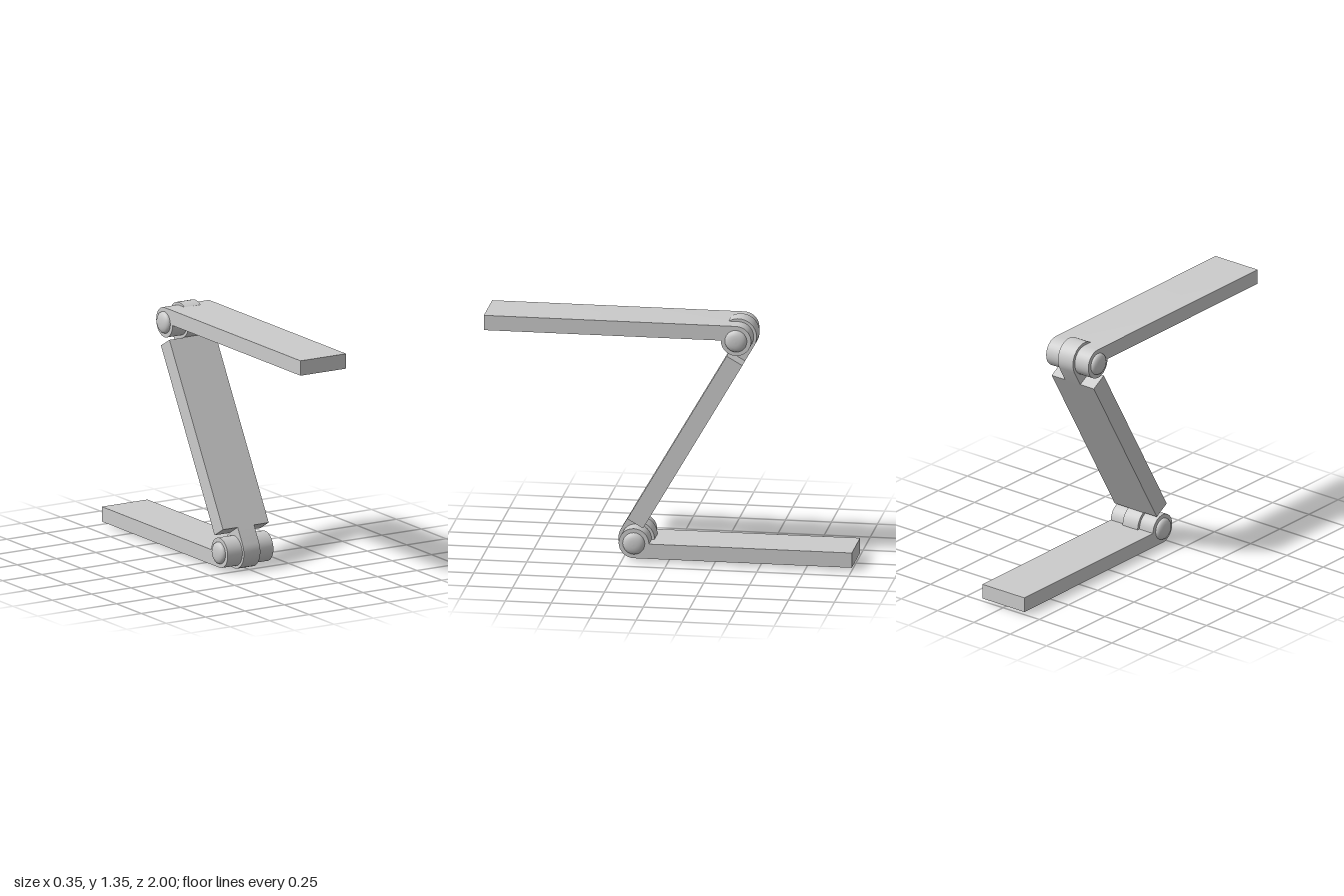
import * as THREE from 'three';
import { toCreasedNormals } from 'three/addons/utils/BufferGeometryUtils.js';

const material = new THREE.MeshStandardMaterial({ color: 0xcccccc });
const PLATE_W = 0.29, TONGUE_W = 0.104;
const PLATE_R = 0.0825, TONGUE_R = 0.0985;
const lower = new THREE.Vector3(0, 0.1, 0.185);
const upper = new THREE.Vector3(0, 1.2575, -0.37);

// Strip of thickness r that runs along u and curls into a round knuckle at the origin
function knuckleStrip(length, r, width) {
  const s = new THREE.Shape();
  s.moveTo(length, 0);
  s.lineTo(length, r);
  s.lineTo(0, r);
  s.absarc(0, 0, r, Math.PI / 2, Math.PI * 2, false);
  s.closePath();
  const g = new THREE.ExtrudeGeometry(s, { depth: width, bevelEnabled: false, curveSegments: 12 });
  g.translate(0, 0, -width / 2);
  return toCreasedNormals(g, 0.6);
}

function mesh(name, geometry) {
  const m = new THREE.Mesh(geometry, material);
  m.name = name;
  return m;
}

// Place a strip at a hinge: u runs along the strip, v points to its flat outer side
function place(m, hinge, u, v) {
  const w = new THREE.Vector3().crossVectors(u, v);
  m.quaternion.setFromRotationMatrix(new THREE.Matrix4().makeBasis(u, v, w));
  m.position.copy(hinge);
  return m;
}

export function createModel() {
  const model = new THREE.Group();
  model.name = 'foldingHinge';
  const along = new THREE.Vector3(0, Math.cos(Math.PI / 6), -Math.sin(Math.PI / 6));
  const normal = new THREE.Vector3(0, Math.sin(Math.PI / 6), Math.cos(Math.PI / 6));
  const span = upper.clone().sub(lower).dot(along);

  // Sloping middle plate, stopping short of both hinges
  const gap = 0.1;
  const bar = new THREE.BoxGeometry(span - 2 * gap, TONGUE_R, PLATE_W);
  bar.translate(span / 2, TONGUE_R / 2, 0);
  model.add(place(mesh('middlePlate', bar), lower, along, normal));

  // Each hinge is the other one turned half round about x
  for (const [label, hinge, sign, length] of [['lower', lower, 1, 1.185], ['upper', upper, -1, 1.37]]) {
    // Flat end plate with its wide knuckle
    model.add(place(mesh(label + 'Plate', knuckleStrip(length, PLATE_R, PLATE_W)), hinge,
      new THREE.Vector3(0, 0, -sign), new THREE.Vector3(0, -sign, 0)));

    // Narrow tongue of the middle plate, wrapped round the pin
    model.add(place(mesh(label + 'Tongue', knuckleStrip(gap, TONGUE_R, TONGUE_W)), hinge,
      along.clone().multiplyScalar(sign), normal.clone().multiplyScalar(sign)));

    // Domed pin heads on both sides
    for (const side of [1, -1]) {
      const profile = [[0.06, -0.01], [0.06, 0.004], [0.056, 0.013], [0.047, 0.02], [0.034, 0.025], [0.018, 0.0275], [0, 0.028]]
        .map(([r, h]) => new THREE.Vector2(r, h));
      const head = mesh(label + (side > 0 ? 'Left' : 'Right') + 'PinHead', new THREE.LatheGeometry(profile, 24));
      head.rotation.z = -side * Math.PI / 2;
      head.position.copy(hinge).setX(side * PLATE_W / 2);
      model.add(head);
    }
  }
  model.position.x = -0.002;
  return model;
}
